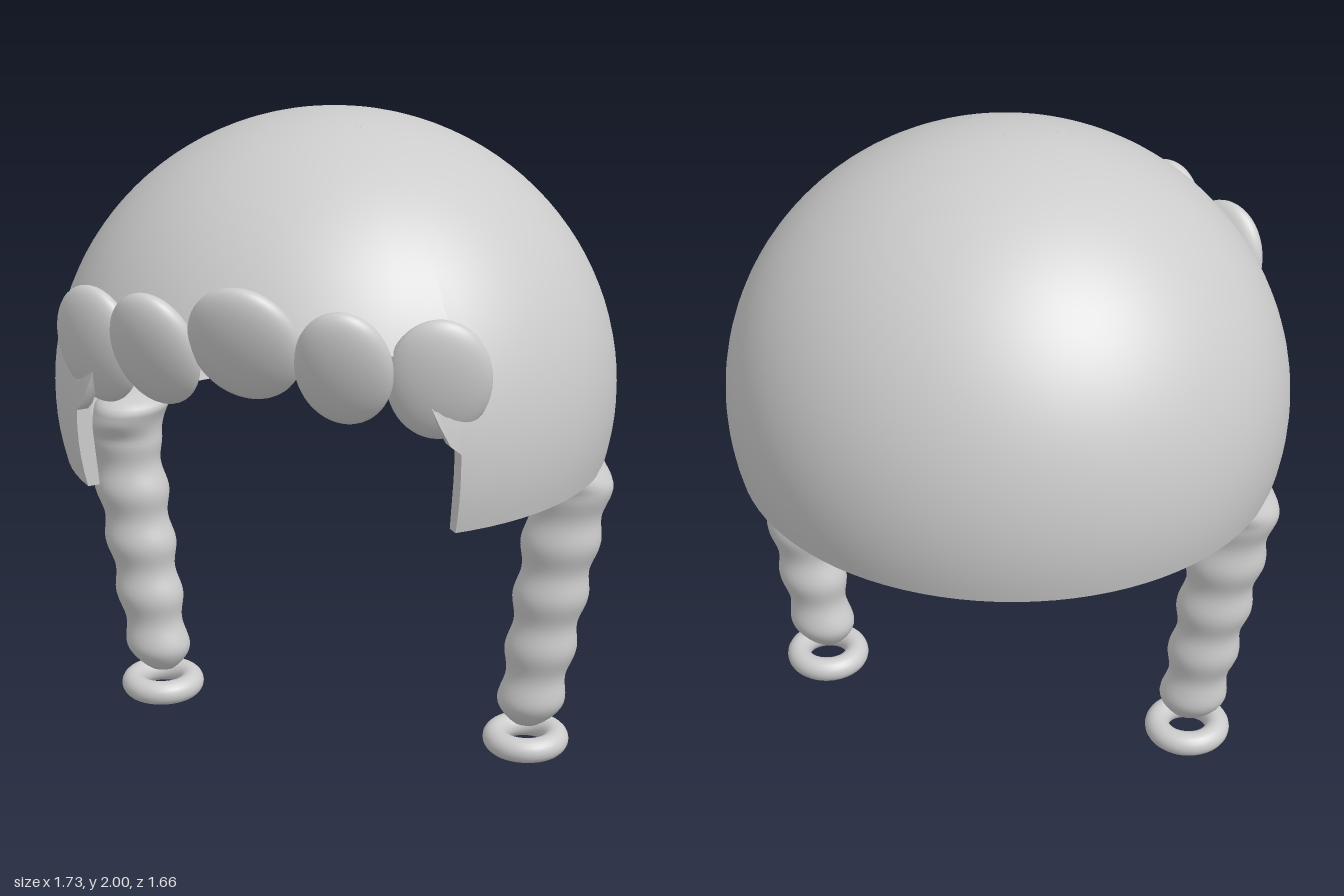
import * as THREE from 'three';
import { mergeVertices, toCreasedNormals } from 'three/addons/utils/BufferGeometryUtils.js';

const smooth = THREE.MathUtils.smoothstep;

// Dome ellipsoid
const CENTER_Y = 1.17, RX = 0.855, RY = 0.83, RZ = 0.83, THICKNESS = 0.035;
const OPENING = 0.745; // half angle of the face opening

// Lower edge of the cap: level at the sides and back, arched over the face
function openingEdge(phi) {
  return 1.2 + 0.28 * smooth(OPENING - Math.abs(phi), 0, 0.2);
}

function capColumns() {
  const columns = [];
  for (let i = 0; i <= 40; i++) {
    const phi = -OPENING + (2 * OPENING * i) / 40;
    columns.push([phi, openingEdge(phi)]);
  }
  for (let i = 0; i <= 72; i++) {
    columns.push([OPENING + ((2 * Math.PI - 2 * OPENING) * i) / 72, 0.96]);
  }
  return columns;
}

// Hollow cap: each column is an outer meridian, then the rim, then the inner meridian
function capGeometry() {
  const columns = capColumns(), steps = 32, ring = 2 * (steps + 1);
  const positions = [], index = [];
  const addPoint = (phi, rim, t, inset) => {
    const rx = RX - inset, ry = RY - inset, rz = RZ - inset;
    const low = Math.asin((rim - CENTER_Y) / ry);
    const theta = Math.PI / 2 + (low - Math.PI / 2) * t;
    positions.push(
      rx * Math.cos(theta) * Math.sin(phi),
      CENTER_Y + ry * Math.sin(theta),
      rz * Math.cos(theta) * Math.cos(phi));
  };
  for (const [phi, rim] of columns) {
    for (let j = 0; j <= steps; j++) addPoint(phi, rim, j / steps, 0);
    for (let j = steps; j >= 0; j--) addPoint(phi, rim, j / steps, THICKNESS);
  }
  for (let i = 0; i < columns.length; i++) {
    const next = (i + 1) % columns.length;
    for (let j = 0; j < ring - 1; j++) {
      const a = i * ring + j, d = next * ring + j;
      index.push(a, a + 1, d + 1, a, d + 1, d);
    }
  }
  const geometry = new THREE.BufferGeometry();
  geometry.setAttribute('position', new THREE.Float32BufferAttribute(positions, 3));
  geometry.setIndex(index);
  return toCreasedNormals(geometry, 0.7);
}

// Beaded braid that leans outward and flares where it meets the cap
function braidGeometry(side) {
  const bottom = 0.085, top = 1.05, steps = 72, profile = [];
  for (let i = 0; i <= steps; i++) {
    const y = bottom + ((top - bottom) * i) / steps;
    const low = Math.min(1, (y - bottom) / 0.1), high = Math.min(1, (top - y) / 0.05);
    const round = Math.sqrt(1 - (1 - low) ** 2) * Math.sqrt(1 - (1 - high) ** 2);
    const bead = 0.008 * Math.cos((2 * Math.PI * (y - 0.18)) / 0.18);
    profile.push(new THREE.Vector2(Math.max(0, (0.093 + 0.03 * y + bead) * round), y));
  }
  let geometry = new THREE.LatheGeometry(profile, 32);
  const p = geometry.attributes.position;
  for (let i = 0; i < p.count; i++) {
    const y = p.getY(i);
    const lean = 0.607 + 0.145 * y - 0.06 * smooth(y, 0.9, 1.04);
    const depth = 0.86 + 0.4 * smooth(y, 0.9, 0.98);
    p.setXYZ(i, p.getX(i) + side * lean, y, p.getZ(i) * depth - 0.04);
  }
  geometry.deleteAttribute('uv');
  geometry.deleteAttribute('normal');
  geometry = mergeVertices(geometry);
  geometry.computeVertexNormals();
  return geometry;
}

export function createModel() {
  const model = new THREE.Group();
  model.name = 'braidedWig';
  const hair = new THREE.MeshStandardMaterial({ color: 0xcccccc });
  hair.name = 'hairGrey';

  const add = (name, geometry) => {
    const mesh = new THREE.Mesh(geometry, hair);
    mesh.name = name;
    model.add(mesh);
    return mesh;
  };

  add('hairCap', capGeometry());

  // Flattened curls along the forehead, tops leaning forward
  const curl = (name, position, size, tilt, yaw) => {
    const mesh = add(name, new THREE.SphereGeometry(1, 36, 24));
    mesh.position.set(...position);
    mesh.scale.set(...size);
    mesh.rotation.set(tilt, yaw, 0, 'YXZ');
  };
  curl('middleCurl', [0, 1.497, 0.745], [0.165, 0.182, 0.062], 0.35, 0);

  for (const [label, side] of [['left', 1], ['right', -1]]) {
    curl(label + 'InnerCurl', [side * 0.277, 1.448, 0.722], [0.137, 0.183, 0.062], 0.34, side * 0.14);
    curl(label + 'OuterCurl', [side * 0.51, 1.405, 0.6], [0.146, 0.18, 0.058], 0.16, side * 0.32);

    add(label + 'Braid', braidGeometry(side));

    // Ring hanging below the braid
    const ring = add(label + 'BraidRing', new THREE.TorusGeometry(0.096, 0.039, 20, 48));
    ring.rotation.x = Math.PI / 2;
    ring.position.set(side * 0.62, 0.042, -0.04);
  }
  return model;
}
